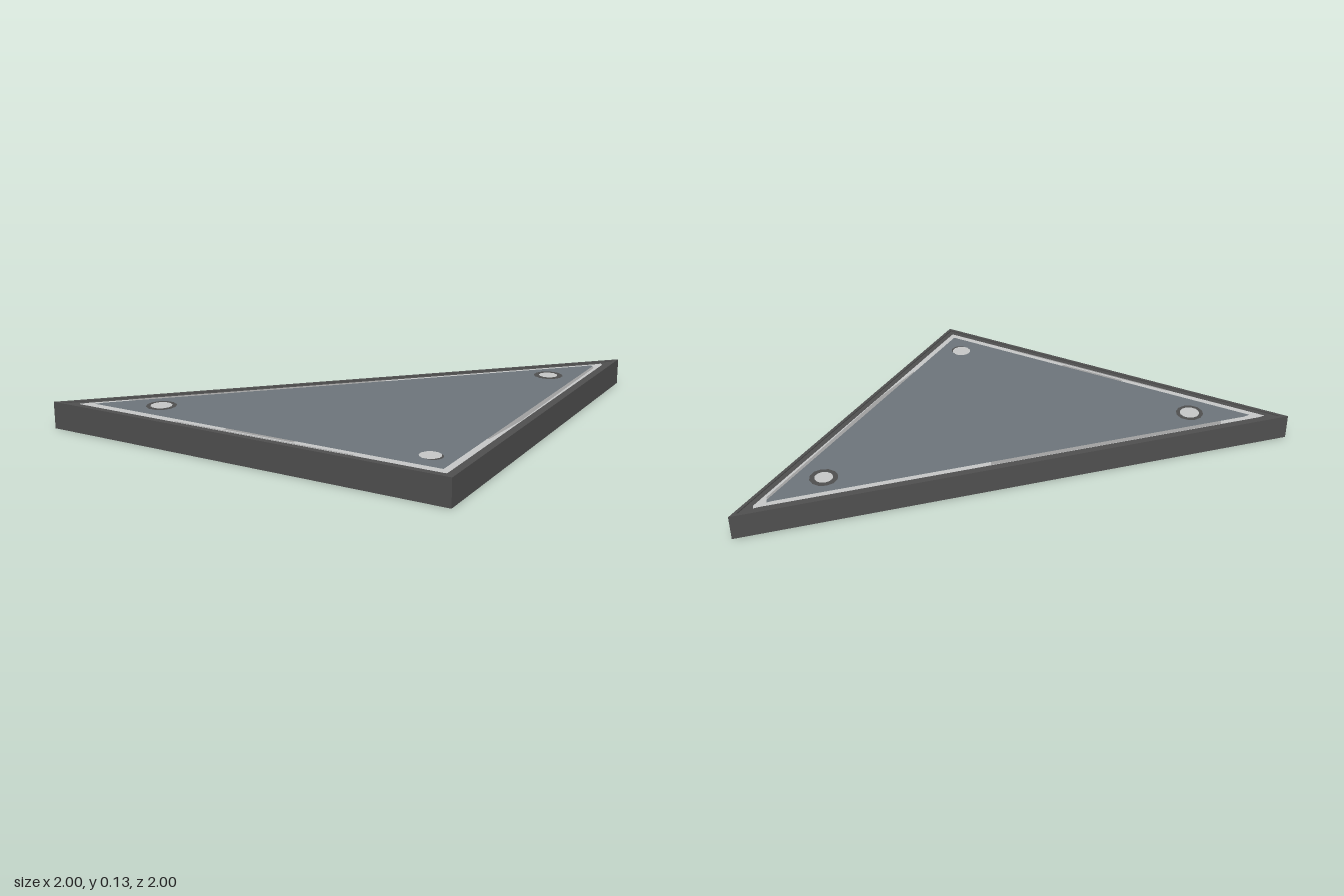
import * as THREE from 'three';

const material = (name, color) => {
  const m = new THREE.MeshStandardMaterial({ color });
  m.name = name;
  return m;
};

const HEIGHT = 0.127;
const LAYER = 0.0012; // spacing between stacked painted layers
const BASE = LAYER * 5;

// Outline from [x, z] points; flip = -1 for faces looking up, 1 for looking down
const outline = (points, flip) =>
  new THREE.Shape(points.map(([x, z]) => new THREE.Vector2(x, z * flip)));

const disc = (x, z, r, sides = 12) =>
  Array.from({ length: sides }, (_, i) => {
    const a = ((i + 0.5) / sides) * Math.PI * 2;
    return [x + r * Math.cos(a), z + r * Math.sin(a)];
  });

export function createModel() {
  const model = new THREE.Group();
  model.name = 'triangularPanel';

  const frameGrey = material('dark frame grey', 0x505050);
  const panelBlue = material('slate panel', 0x6e767c);
  const trimLight = material('light trim', 0xc8caca);
  const trimWorn = material('worn trim', 0xa2a3a3);

  // Right-angled slab
  const corners = [[-1, 1], [1, 1], [1, -1]];
  const slab = new THREE.ExtrudeGeometry(outline(corners, -1), {
    depth: HEIGHT - 2 * BASE, bevelEnabled: false,
  });
  slab.rotateX(-Math.PI / 2).translate(0, BASE, 0);
  const body = new THREE.Mesh(slab, frameGrey);
  body.name = 'slab';
  model.add(body);

  // Side walls run the full height around the painted faces
  const rim = outline(corners, -1);
  rim.holes.push(outline([[-0.96, 0.985], [0.985, 0.985], [0.985, -0.96]], -1));
  const rimGeometry = new THREE.ExtrudeGeometry(rim, { depth: HEIGHT, bevelEnabled: false });
  rimGeometry.rotateX(-Math.PI / 2);
  const rimMesh = new THREE.Mesh(rimGeometry, frameGrey);
  rimMesh.name = 'rim';
  model.add(rimMesh);

  // Painted layers: name, material, level, [x, z] points
  const trim = [[-0.89, 0.958], [0.955, 0.958], [0.958, 0.95], [0.958, -0.87],
    [0.945, -0.89], [0.925, -0.865], [-0.865, 0.925]];
  const panel = [[-0.82, 0.925], [0.928, 0.925], [0.928, -0.81], [0.915, -0.825],
    [0.895, -0.8], [-0.8, 0.895]];
  const layers = [
    ['trim', trimLight, 1, trim],
    // Worn stretches along each side
    ['wornTrimDiagonal', trimWorn, 2, [[0.14, -0.08], [0.16, -0.04], [-0.7, 0.82], [-0.72, 0.78]]],
    ['wornTrimFront', trimWorn, 2, [[-0.1, 0.92], [0.25, 0.92], [0.25, 0.94], [-0.1, 0.94]]],
    ['wornTrimFrontEdge', trimWorn, 2, [[-0.35, 0.95], [0.55, 0.95], [0.55, 0.958], [-0.35, 0.958]]],
    ['wornTrimSide', trimWorn, 2,
      [[0.925, -0.81], [0.942, -0.79], [0.948, -0.3], [0.955, 0.2], [0.935, 0.5], [0.925, 0.5]]],
    ['panel', panelBlue, 3, panel],
  ];
  // Corner studs with dark sockets
  const studs = [
    [0.795, -0.54, 0.045, 0.795, -0.54, 0.07],
    [-0.54, 0.80, 0.05, -0.54, 0.80, 0.07],
    [0.815, 0.81, 0.048, 0.828, 0.814, 0.045],
  ];
  for (const [x, z, r, sx, sz, sr] of studs) {
    layers.push(['studSocket', frameGrey, 4, disc(sx, sz, sr)]);
    layers.push(['stud', trimLight, 5, disc(x, z, r)]);
  }

  // The same pattern on the upper and lower faces
  for (const up of [true, false]) {
    const face = new THREE.Group();
    face.name = up ? 'upperFace' : 'lowerFace';
    for (const [name, mat, level, points] of layers) {
      const geometry = new THREE.ShapeGeometry(outline(points, up ? -1 : 1));
      geometry.rotateX(up ? -Math.PI / 2 : Math.PI / 2);
      const mesh = new THREE.Mesh(geometry, mat);
      mesh.name = name;
      const inset = BASE - level * LAYER;
      mesh.position.y = up ? HEIGHT - inset : inset;
      face.add(mesh);
    }
    model.add(face);
  }
  return model;
}
